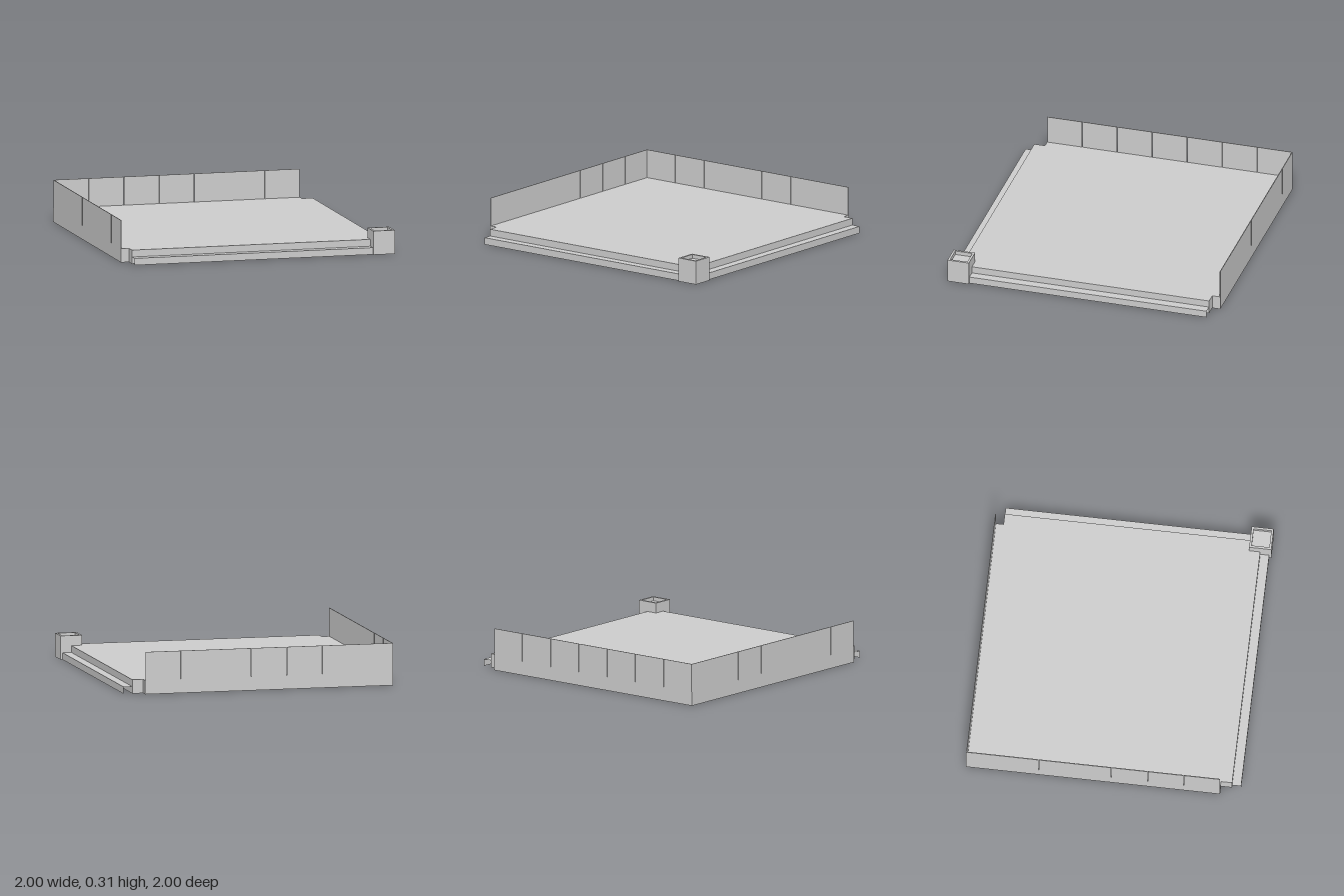
import * as THREE from 'three';

const grey = new THREE.MeshStandardMaterial({ color: 0xcccccc, side: THREE.DoubleSide, flatShading: true });

// Vertical strips following a closed outline of [x, z] points
function skirt(outline, y0, y1) {
  const pos = [];
  outline.forEach(([ax, az], i) => {
    const [bx, bz] = outline[(i + 1) % outline.length];
    pos.push(ax, y0, az, bx, y0, bz, bx, y1, bz, ax, y0, az, bx, y1, bz, ax, y1, az);
  });
  const g = new THREE.BufferGeometry();
  g.setAttribute('position', new THREE.Float32BufferAttribute(pos, 3));
  g.computeVertexNormals();
  return g;
}

// Flat horizontal sheet from [x, z] points, facing up
function sheet(outline, y) {
  const shape = new THREE.Shape(outline.map(([x, z]) => new THREE.Vector2(x, -z)));
  return new THREE.ShapeGeometry(shape).rotateX(-Math.PI / 2).translate(0, y, 0);
}

export function createModel() {
  const model = new THREE.Group();
  const add = (name, geometry, parent = model) => {
    const mesh = new THREE.Mesh(geometry, grey);
    mesh.name = name;
    parent.add(mesh);
    return mesh;
  };

  // Floor: hollow tray, open underneath, notched at three corners
  const outline = [
    [-1, -1], [-1, 0.84], [-0.94, 0.84], [-0.94, 0.92], [0.84, 0.92],
    [0.84, 0.84], [0.92, 0.84], [0.92, -0.94], [0.84, -0.94], [0.84, -1],
  ];
  add('floorTop', sheet(outline, 0.1));
  add('floorSkirt', skirt(outline, 0, 0.1));

  // One side = a row of wall panels at the back and a ledge at the front
  const makeSide = (prefix) => {
    const side = new THREE.Group();
    side.name = prefix + 'Side';
    const pitch = 1.84 / 7;
    for (let i = 0; i < 7; i++) {
      const panel = new THREE.BoxGeometry(pitch - 0.003, 0.207, 0.005);
      add('wallPanel', panel.translate(-1 + pitch * (i + 0.5), 0.2035, -0.9975), side);
    }
    add('ledgeTop', sheet([[-0.94, 0.92], [-0.94, 0.985], [0.84, 0.985], [0.84, 0.92]], 0.05), side);
    add('ledgeLip', new THREE.PlaneGeometry(1.78, 0.05).translate(-0.05, 0.025, 0.985), side);
    return side;
  };
  model.add(makeSide('front'));

  // The other side mirrors the first across the diagonal (x and z swapped)
  const mirrored = makeSide('left');
  mirrored.children.forEach((mesh) => {
    const p = mesh.geometry.attributes.position;
    for (let i = 0; i < p.count; i++) p.setXYZ(i, p.getZ(i), p.getY(i), p.getX(i));
    const index = mesh.geometry.index;
    for (let i = 0; i < index.count; i += 3) {
      const a = index.getX(i);
      index.setX(i, index.getX(i + 1));
      index.setX(i + 1, a);
    }
    mesh.geometry.computeVertexNormals();
  });
  model.add(mirrored);

  // Corner post with a raised rim around a sunken top
  const post = new THREE.Group();
  post.name = 'cornerPost';
  post.position.set(0.92, 0, 0.92);
  const square = (r) => [[-r, -r], [-r, r], [r, r], [r, -r]];
  const rim = new THREE.Shape(square(0.08).map(([x, y]) => new THREE.Vector2(x, y)));
  rim.holes.push(new THREE.Path(square(0.064).map(([x, y]) => new THREE.Vector2(x, y))));
  add('postRim', new THREE.ShapeGeometry(rim).rotateX(-Math.PI / 2).translate(0, 0.173, 0), post);
  add('postSides', skirt(square(0.08), 0, 0.173), post);
  add('postRecess', skirt(square(0.064), 0.145, 0.173), post);
  add('postRecessFloor', sheet(square(0.064), 0.145), post);
  add('postBase', sheet(square(0.08), 0).scale(1, 1, 1), post);
  model.add(post);

  return model;
}
